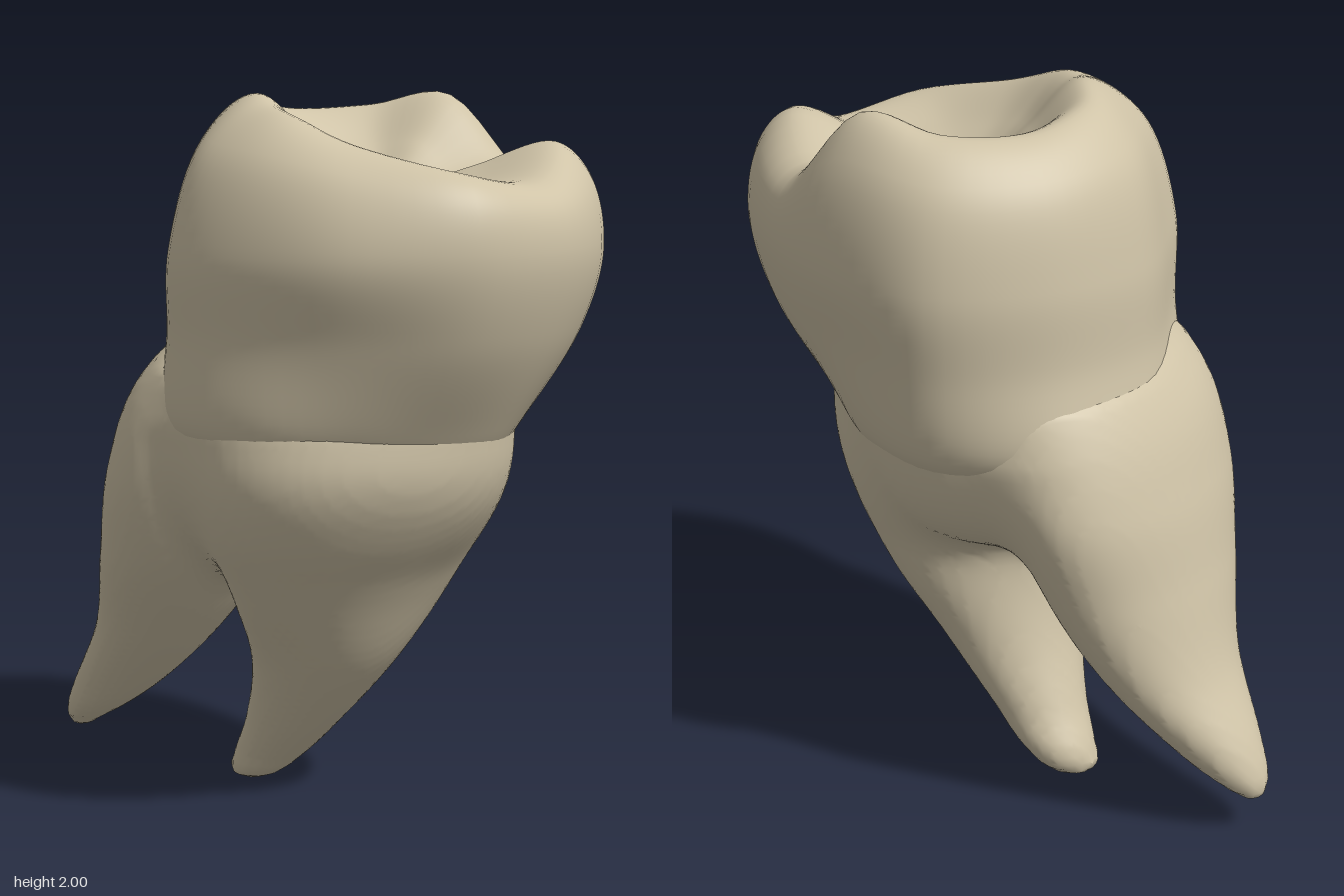
import * as THREE from 'three';

const SIDES = 72;
const { lerp, degToRad } = THREE.MathUtils;

function buildGeometry(positions, index) {
  const geometry = new THREE.BufferGeometry();
  geometry.setAttribute('position', new THREE.Float32BufferAttribute(positions, 3));
  geometry.setIndex(index);
  geometry.computeVertexNormals();
  return geometry;
}

// Smooth skin through closed loops listed from the bottom up
function loft(loops, rows) {
  const rings = loops.map((points) => {
    const curve = new THREE.CatmullRomCurve3(points, true, 'catmullrom', 0.5);
    return Array.from({ length: SIDES }, (_, k) => curve.getPoint(k / SIDES));
  });
  const positions = [];
  const index = [];
  for (let k = 0; k < SIDES; k++) {
    const column = new THREE.CatmullRomCurve3(rings.map((r) => r[k]));
    for (let j = 0; j <= rows; j++) positions.push(...column.getPoint(j / rows).toArray());
    for (let j = 0; j < rows; j++) {
      const a = k * (rows + 1) + j;
      const b = ((k + 1) % SIDES) * (rows + 1) + j;
      index.push(a, a + 1, b, b, a + 1, b + 1);
    }
  }
  return buildGeometry(positions, index);
}

// Crown: twelve radii per loop, from +x turning towards +z
const AXIS = { x: 0.03, z: 0.1 };
const NECK = [0.41, 0.44, 0.46, 0.45, 0.47, 0.53, 0.57, 0.56, 0.62, 0.66, 0.6, 0.48];
const FLARE = [0.54, 0.6, 0.6, 0.6, 0.56, 0.55, 0.57, 0.54, 0.6, 0.635, 0.64, 0.55];
const BULGE = [0.59, 0.665, 0.66, 0.67, 0.62, 0.575, 0.57, 0.53, 0.59, 0.63, 0.66, 0.6];
const RIM = [0.48, 0.53, 0.55, 0.57, 0.4, 0.33, 0.28, 0.29, 0.37, 0.43, 0.47, 0.46];
const RIM_Y = [1.78, 1.87, 1.77, 1.8, 1.87, 1.94, 1.97, 2.0, 1.98, 1.95, 1.96, 1.99];
const PIT_Y = 1.74;

const radial = (radius, height, shift = 0) => Array.from({ length: 12 }, (_, k) => {
  const t = (k / 12) * Math.PI * 2;
  return new THREE.Vector3(AXIS.x + shift + radius(k) * Math.cos(t), height(k),
    AXIS.z - shift * 0.6 + radius(k) * Math.sin(t));
});

function crownLoops() {
  return [
    radial((k) => NECK[k] * 0.85, () => 1.0),
    radial((k) => NECK[k], () => 1.1),
    radial((k) => FLARE[k], () => 1.35),
    radial((k) => BULGE[k], () => 1.58),
    radial((k) => lerp(BULGE[k], RIM[k], 0.4) + 0.015, (k) => lerp(1.58, RIM_Y[k], 0.7)),
    radial((k) => RIM[k], (k) => RIM_Y[k]),
    // chewing basin
    radial((k) => RIM[k] * 0.55, (k) => lerp(PIT_Y, RIM_Y[k], 0.48), 0.03),
    radial((k) => RIM[k] * 0.22, (k) => lerp(PIT_Y, RIM_Y[k], 0.1), 0.06),
    radial(() => 0.001, () => PIT_Y, 0.07),
  ];
}

// Roots: turned ellipses, each row is [y, centre x, centre z, half width, half depth]
const FRONT_ROOT = [
  [0.0, -0.145, -0.26, 0.02, 0.02],
  [0.02, -0.14, -0.255, 0.07, 0.065],
  [0.07, -0.11, -0.235, 0.1, 0.1],
  [0.2, -0.07, -0.14, 0.14, 0.14],
  [0.4, -0.03, -0.015, 0.22, 0.195],
  [0.6, -0.02, 0.065, 0.335, 0.24],
  [0.8, -0.03, 0.12, 0.425, 0.31],
  [1.0, -0.04, 0.16, 0.44, 0.345],
  [1.2, -0.03, 0.14, 0.36, 0.28],
];

const BACK_ROOT = [
  [0.1, -0.505, -0.715, 0.02, 0.02],
  [0.12, -0.5, -0.71, 0.05, 0.045],
  [0.165, -0.475, -0.675, 0.09, 0.085],
  [0.25, -0.425, -0.615, 0.14, 0.13],
  [0.45, -0.335, -0.485, 0.25, 0.18],
  [0.7, -0.285, -0.37, 0.37, 0.235],
  [0.95, -0.25, -0.31, 0.44, 0.25],
  [1.2, -0.2, -0.24, 0.42, 0.24],
  [1.36, -0.12, -0.16, 0.36, 0.21],
];

// Smooth curve through rows keyed by their first number
const spline = (rows) => new THREE.CubicInterpolant(
  rows.map((r) => r[0]), new Float32Array(rows.flatMap((r) => r.slice(1))), rows[0].length - 1);

// Distance rule of one root
function rootField(rows, degrees) {
  const section = spline(rows);
  const c = Math.cos(degToRad(degrees));
  const s = Math.sin(degToRad(degrees));
  const bottom = rows[0][0];
  const top = rows[rows.length - 1][0];
  return (x, y, z) => {
    const [cx, cz, a, b] = section.evaluate(y);
    const p = (x - cx) * c - (z - cz) * s;
    const q = (x - cx) * s + (z - cz) * c;
    return Math.max((Math.hypot(p / a, q / b) - 1) * Math.min(a, b), bottom - y, y - top);
  };
}

// Rounded union of two distances
function blend(a, b, k) {
  const h = Math.max(k - Math.abs(a - b), 0) / k;
  return Math.min(a, b) - h * h * k * 0.25;
}

// Both roots flowing into the trunk under the crown
function rootsField() {
  const front = rootField(FRONT_ROOT, 12);
  const back = rootField(BACK_ROOT, 40);
  const neck = spline([...NECK, NECK[0]].map((r, k) => [k, r]));
  return (x, y, z) => {
    const dx = x - AXIS.x;
    const dz = z - AXIS.z;
    const turn = ((Math.atan2(dz, dx) / (Math.PI * 2) + 1) % 1) * 12;
    const radius = neck.evaluate(turn)[0] * (0.965 - 0.3 * Math.abs(1.1 - y));
    const side = Math.max(Math.hypot(dx, dz) - radius, y - 1.2);
    const trunk = -blend(-side, y - 0.75, 0.3);
    return blend(blend(front(x, y, z), back(x, y, z), 0.12), trunk, 0.1);
  };
}

// Skin of a distance rule on a regular grid, one vertex per crossed cell
function skin(field, min, size, step) {
  const stride = [1, size[0], size[0] * size[1]];
  const values = new Float32Array(size[0] * size[1] * size[2]);
  const vertex = new Int32Array(values.length);
  const positions = [];
  const index = [];
  const eachCell = (start, end, visit) => {
    for (let z = start; z < size[2] - end; z++)
      for (let y = start; y < size[1] - end; y++)
        for (let x = start; x < size[0] - end; x++)
          visit([x, y, z], x + y * stride[1] + z * stride[2]);
  };
  eachCell(0, 0, (g, id) => {
    values[id] = field(...g.map((n, i) => min[i] + n * step));
  });
  eachCell(0, 1, (g, id) => {
    const sum = [0, 0, 0];
    let count = 0;
    for (let corner = 0; corner < 8; corner++) {
      const bits = [corner & 1, (corner >> 1) & 1, corner >> 2];
      const from = id + bits[0] + bits[1] * stride[1] + bits[2] * stride[2];
      for (let i = 0; i < 3; i++) {
        if (bits[i]) continue;
        const a = values[from];
        const b = values[from + stride[i]];
        if ((a < 0) === (b < 0)) continue;
        for (let j = 0; j < 3; j++) sum[j] += bits[j] + (i === j ? a / (a - b) : 0);
        count++;
      }
    }
    if (!count) return;
    vertex[id] = positions.length / 3;
    positions.push(...g.map((n, i) => min[i] + (n + sum[i] / count) * step));
  });
  eachCell(1, 1, (g, id) => {
    for (let i = 0; i < 3; i++) {
      const inside = values[id] < 0;
      if (inside === (values[id + stride[i]] < 0)) continue;
      const u = stride[(i + 1) % 3];
      const v = stride[(i + 2) % 3];
      const [a, b, c, d] = [id - u - v, id - v, id, id - u].map((n) => vertex[n]);
      if (inside) index.push(a, b, c, a, c, d);
      else index.push(a, c, b, a, d, c);
    }
  });
  return buildGeometry(positions, index);
}

export function createModel() {
  const group = new THREE.Group();
  group.name = 'molarTooth';
  const enamel = new THREE.MeshStandardMaterial({ color: 0xcfc3a7 });
  enamel.name = 'ivory enamel';

  const add = (name, geometry) => {
    const mesh = new THREE.Mesh(geometry, enamel);
    mesh.name = name;
    group.add(mesh);
  };
  add('crown', loft(crownLoops(), 80));
  add('roots', skin(rootsField(), [-0.74, -0.05, -0.86], [58, 62, 68], 0.0235));
  return group;
}
